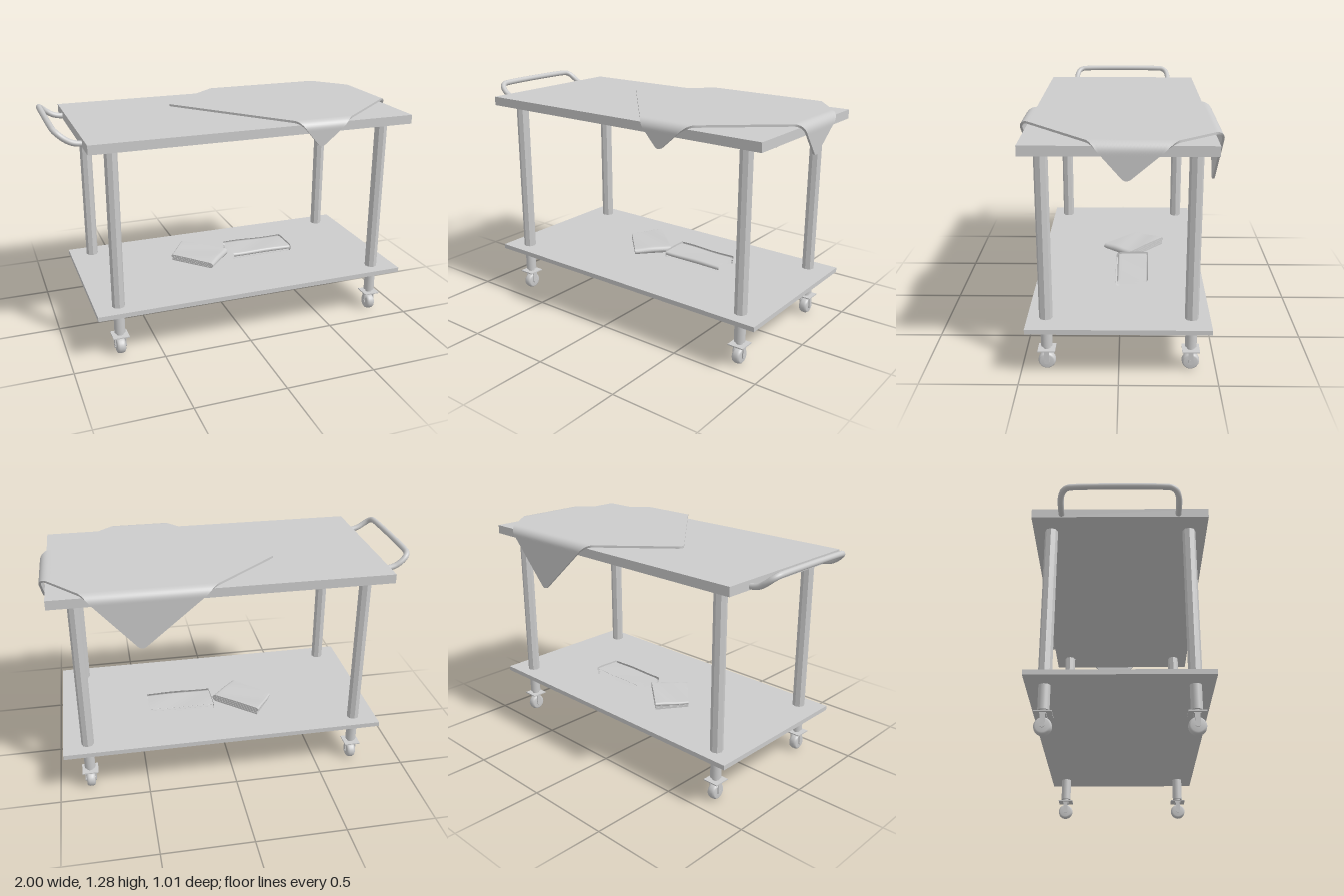
import * as THREE from 'three';

const material = new THREE.MeshStandardMaterial({ color: 0xcccccc });
const flatMaterial = new THREE.MeshStandardMaterial({ color: 0xcccccc, flatShading: true });

function add(parent, name, geometry, x = 0, y = 0, z = 0, mat = material) {
  const mesh = new THREE.Mesh(geometry, mat);
  mesh.name = name;
  mesh.position.set(x, y, z);
  parent.add(mesh);
  return mesh;
}

// Moves every vertex of a geometry by a rule
function reshape(geometry, rule) {
  const pos = geometry.attributes.position;
  const v = new THREE.Vector3();
  for (let i = 0; i < pos.count; i++) {
    rule(v.fromBufferAttribute(pos, i));
    pos.setXYZ(i, v.x, v.y, v.z);
  }
  geometry.computeVertexNormals();
  return geometry;
}

// Bends a flat distance over a table edge: quarter arc, then a straight hang
function overEdge(d, radius) {
  const arc = radius * Math.PI / 2;
  const a = Math.min(d, arc) / radius;
  return {
    out: radius * Math.sin(a) - Math.max(d - arc, 0) * 0.05,
    drop: radius * (1 - Math.cos(a)) + Math.max(d - arc, 0),
    nOut: Math.sin(a), nUp: Math.cos(a),
  };
}

// Square cloth with rounded corners, laid askew and hanging over three edges
function drapedCloth() {
  const half = 0.51, round = 0.03, radius = 0.04;
  const edgeX = 0.95, edgeZ = 0.46;
  const angle = 0.862, cx = 0.445, cz = -0.09;
  return reshape(new THREE.BoxGeometry(2 * half, 0.012, 2 * half, 90, 1, 90), (v) => {
    const qx = Math.abs(v.x) - (half - round), qz = Math.abs(v.z) - (half - round);
    if (qx > 0 && qz > 0) {
      const k = Math.max(qx, qz) / Math.hypot(qx, qz);
      v.x = Math.sign(v.x) * (half - round + qx * k);
      v.z = Math.sign(v.z) * (half - round + qz * k);
    }
    const x = cx + v.x * Math.cos(angle) - v.z * Math.sin(angle);
    const z = cz + v.x * Math.sin(angle) + v.z * Math.cos(angle);
    const offset = v.y, top = 1.24;
    if (x > edgeX) {
      const b = overEdge(x - edgeX, radius);
      v.set(edgeX + b.out + offset * b.nOut, top - b.drop + offset * b.nUp, z);
    } else if (Math.abs(z) > edgeZ) {
      const b = overEdge(Math.abs(z) - edgeZ, radius);
      v.set(x, top - b.drop + offset * b.nUp, Math.sign(z) * (edgeZ + b.out + offset * b.nOut));
    } else {
      v.set(x, top + offset, z);
    }
  });
}

// Folded cloth: a ribbon runs through the layers in the given order and is
// spread over four ground corners; squash gives the height at each end
function foldedCloth(order, corners, width, squash) {
  const gap = 0.0118, thick = 0.0105, path = [];
  order.forEach((layer, i) => {
    const right = i % 2 === 0;
    const rIn = i > 0 ? Math.abs(order[i - 1] - layer) * gap / 2 : 0.004;
    const next = order[i + 1];
    const rOut = next === undefined ? 0.004 : Math.abs(next - layer) * gap / 2;
    const from = right ? rIn : width - rIn;
    const to = right ? width - rOut : rOut;
    for (let k = 0; k <= 10; k++) {
      path.push(new THREE.Vector2(from + (to - from) * k / 10, layer * gap));
    }
    if (next === undefined) return;
    const middle = (layer + next) / 2 * gap;
    const up = Math.sign(next - layer);
    for (let k = 1; k < 8; k++) {
      const a = k / 8 * Math.PI;
      path.push(new THREE.Vector2(to + (right ? 1 : -1) * Math.sin(a) * rOut,
        middle - up * Math.cos(a) * rOut));
    }
  });
  const n = path.length - 1;
  const [a, b, c, d] = corners.map(([x, z]) => new THREE.Vector2(x, z));
  return reshape(new THREE.BoxGeometry(1, thick, 1, n, 1, 16), (v) => {
    const i = Math.round((v.x + 0.5) * n), t = v.z + 0.5;
    const tangent = path[Math.min(i + 1, n)].clone().sub(path[Math.max(i - 1, 0)]).normalize();
    const s = (path[i].x - tangent.y * v.y) / width;
    const h = path[i].y + tangent.x * v.y + thick / 2;
    const ground = a.clone().lerp(b, s).lerp(d.clone().lerp(c, s), t);
    const wave = 1 + 0.05 * Math.sin(t * 7 + s * 4);
    v.set(ground.x, 0.286 + h * wave * (squash[0] + (squash[1] - squash[0]) * t), ground.y);
  });
}

function caster() {
  const group = new THREE.Group();
  group.name = 'caster';
  add(group, 'casterStem', new THREE.CylinderGeometry(0.019, 0.019, 0.025, 16), 0, 0.12, 0);
  add(group, 'casterPlate', new THREE.BoxGeometry(0.09, 0.006, 0.09), 0, 0.11, 0);
  add(group, 'forkBridge', new THREE.BoxGeometry(0.064, 0.008, 0.034), 0, 0.104, 0);
  for (const side of [-1, 1]) {
    add(group, 'forkArm', new THREE.BoxGeometry(0.006, 0.062, 0.026), side * 0.029, 0.074, 0);
    const hub = new THREE.CylinderGeometry(0.013, 0.013, 0.007, 16).rotateZ(Math.PI / 2);
    add(group, 'axleCap', hub, side * 0.029, 0.045, 0);
  }
  const profile = [[0.001, -0.024], [0.034, -0.024], [0.041, -0.019], [0.045, -0.009],
    [0.045, 0.009], [0.041, 0.019], [0.034, 0.024], [0.001, 0.024]];
  const wheel = new THREE.LatheGeometry(profile.map(([r, y]) => new THREE.Vector2(r, y)), 28);
  add(group, 'wheel', wheel.rotateZ(Math.PI / 2), 0, 0.045, 0);
  return group;
}

export function createModel() {
  const model = new THREE.Group();
  model.name = 'serviceCart';

  // Boards
  add(model, 'tableTop', new THREE.BoxGeometry(1.81, 0.05, 0.93), 0.055, 1.195, 0);
  add(model, 'lowerShelf', new THREE.BoxGeometry(1.81, 0.026, 0.93), 0.055, 0.273, 0);

  // Legs with casters
  for (const x of [-0.72, 0.825]) {
    for (const z of [-0.37, 0.37]) {
      add(model, 'leg', new THREE.CylinderGeometry(0.035, 0.035, 0.89, 8), x, 0.728, z, flatMaterial);
      add(model, 'legFoot', new THREE.CylinderGeometry(0.03, 0.03, 0.135, 20), x, 0.195, z);
      const c = caster();
      c.position.set(x, 0, z);
      model.add(c);
    }
  }

  // Push handle
  const side = [[-0.835, 1.188, 0.307], [-0.87, 1.19, 0.307], [-0.905, 1.2, 0.307],
    [-0.94, 1.222, 0.305], [-0.967, 1.245, 0.293], [-0.98, 1.257, 0.27], [-0.983, 1.26, 0.235]];
  const points = [...side, ...side.map(([x, y, z]) => [x, y, -z]).reverse()];
  const curve = new THREE.CatmullRomCurve3(points.map((p) => new THREE.Vector3(...p)));
  add(model, 'handle', new THREE.TubeGeometry(curve, 90, 0.016, 12));

  // Cloths
  add(model, 'drapedCloth', drapedCloth());
  add(model, 'largeFoldedCloth', foldedCloth([0, 3, 2, 1],
    [[0.075, -0.16], [0.08, 0.02], [0.455, 0.02], [0.45, -0.15]], 0.18, [1, 1]));
  add(model, 'smallFoldedCloth', foldedCloth([0, 3, 2, 1],
    [[-0.17, -0.26], [0.06, -0.06], [-0.09, 0.1], [-0.28, -0.1]], 0.3, [0.95, 0.75]));

  // Winding of the second cloth edge stays outward because both run the same way round
  return model;
}
